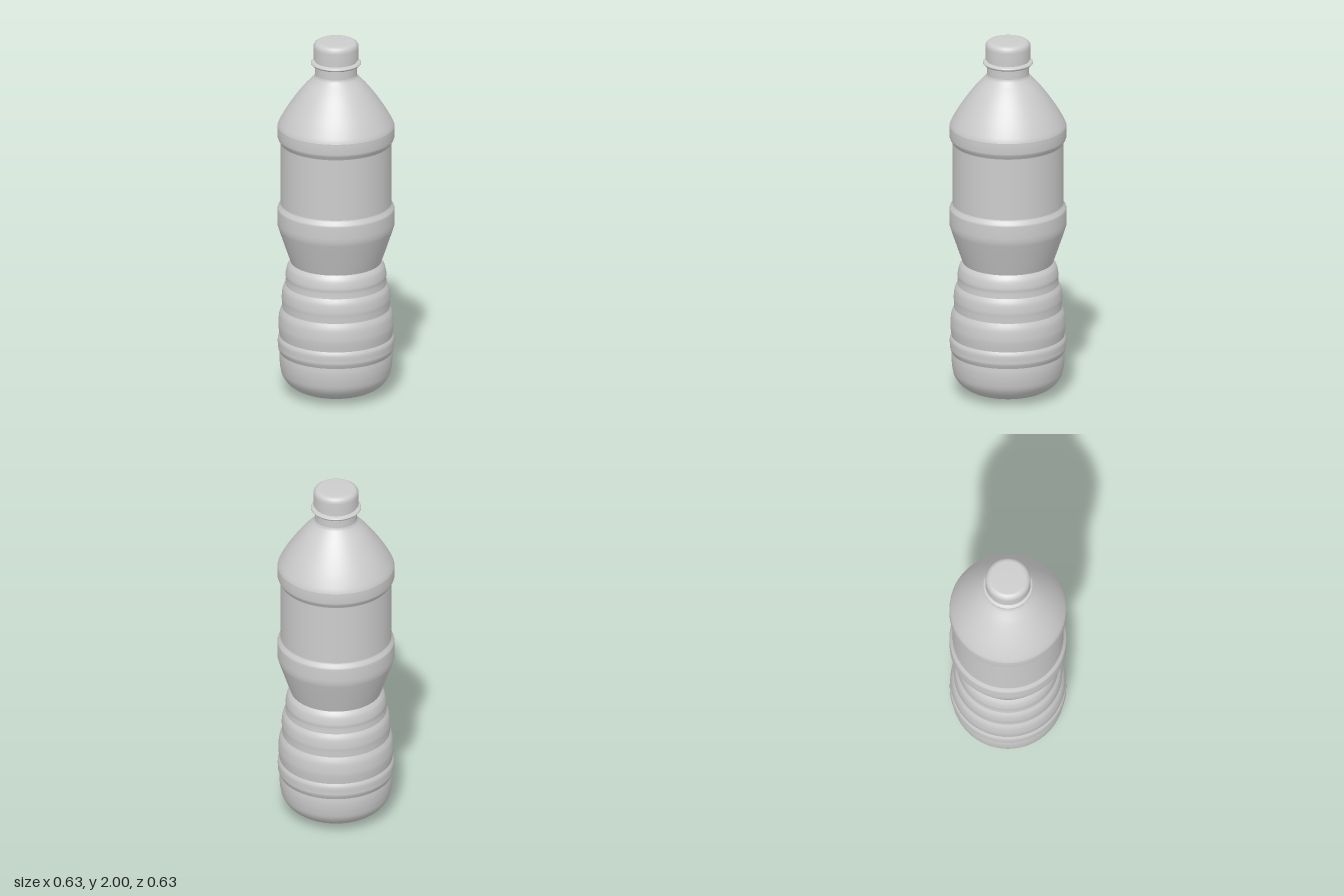
import * as THREE from 'three';

export function createModel() {
  const group = new THREE.Group();
  const plastic = new THREE.MeshStandardMaterial({ color: 0xcccccc });
  plastic.name = 'light grey plastic';

  // Turn a bottom-to-top list of [radius, height] into a round part.
  const turn = (name, points, smooth = 0) => {
    let profile = points.map(([r, y]) => new THREE.Vector2(r, y));
    if (smooth) {
      profile = new THREE.SplineCurve(profile).getPoints(smooth);
      profile.forEach((p) => { p.x = Math.max(p.x, 0); });
    }
    const mesh = new THREE.Mesh(new THREE.LatheGeometry(profile, 96), plastic);
    mesh.name = name;
    group.add(mesh);
  };

  // Rounded base
  turn('base', [
    [0, 0], [0.1, 0.006], [0.19, 0.024], [0.25, 0.054], [0.287, 0.1],
    [0.3, 0.15], [0.304, 0.2], [0.302, 0.235],
  ], 40);

  // Grip ribs: [bottom radius, bottom y, bulge radius, top radius, top y]
  const ribs = [
    [0.302, 0.235, 0.313, 0.304, 0.33],
    [0.304, 0.33, 0.31, 0.29, 0.488],
    [0.29, 0.488, 0.292, 0.272, 0.622],
    [0.272, 0.622, 0.271, 0.244, 0.747],
  ];
  ribs.forEach(([r0, y0, bulge, r1, y1], i) => {
    const h = y1 - y0;
    turn('gripRib' + (i + 1), [
      [r0, y0], [bulge - 0.001, y0 + h * 0.25], [bulge, y0 + h * 0.45],
      [(bulge + r1) / 2 + 0.004, y0 + h * 0.78], [r1, y1],
    ], 20);
  });

  // Waist flaring up into the lower band
  turn('waist', [
    [0.244, 0.747], [0.266, 0.81], [0.293, 0.89], [0.308, 0.935],
    [0.314, 0.955], [0.315, 0.98], [0.315, 1.045], [0.312, 1.057], [0.301, 1.07], [0.298, 1.08],
  ]);

  // Straight label panel
  turn('labelPanel', [[0.298, 1.08], [0.298, 1.425]]);

  // Upper band
  turn('upperBand', [
    [0.298, 1.425], [0.301, 1.433], [0.311, 1.447], [0.315, 1.46],
    [0.315, 1.5], [0.314, 1.52],
  ]);

  // Sloping shoulder
  turn('shoulder', [
    [0.314, 1.52], [0.304, 1.545], [0.271, 1.604], [0.225, 1.673],
    [0.176, 1.737], [0.134, 1.783], [0.118, 1.802], [0.113, 1.815],
  ], 32);

  // Neck and its support ring
  turn('neck', [[0.113, 1.815], [0.113, 1.905]]);
  turn('neckRing', [
    [0.11, 1.865], [0.128, 1.868], [0.135, 1.875], [0.135, 1.88], [0.128, 1.886], [0.11, 1.889],
  ]);

  // Cap with a rounded top edge
  turn('capUnderside', [[0.1, 1.902], [0.122, 1.902]]);
  turn('cap', [
    [0.122, 1.902], [0.122, 1.965], [0.12, 1.979], [0.114, 1.99],
    [0.104, 1.997], [0.092, 2], [0, 2],
  ]);

  return group;
}
